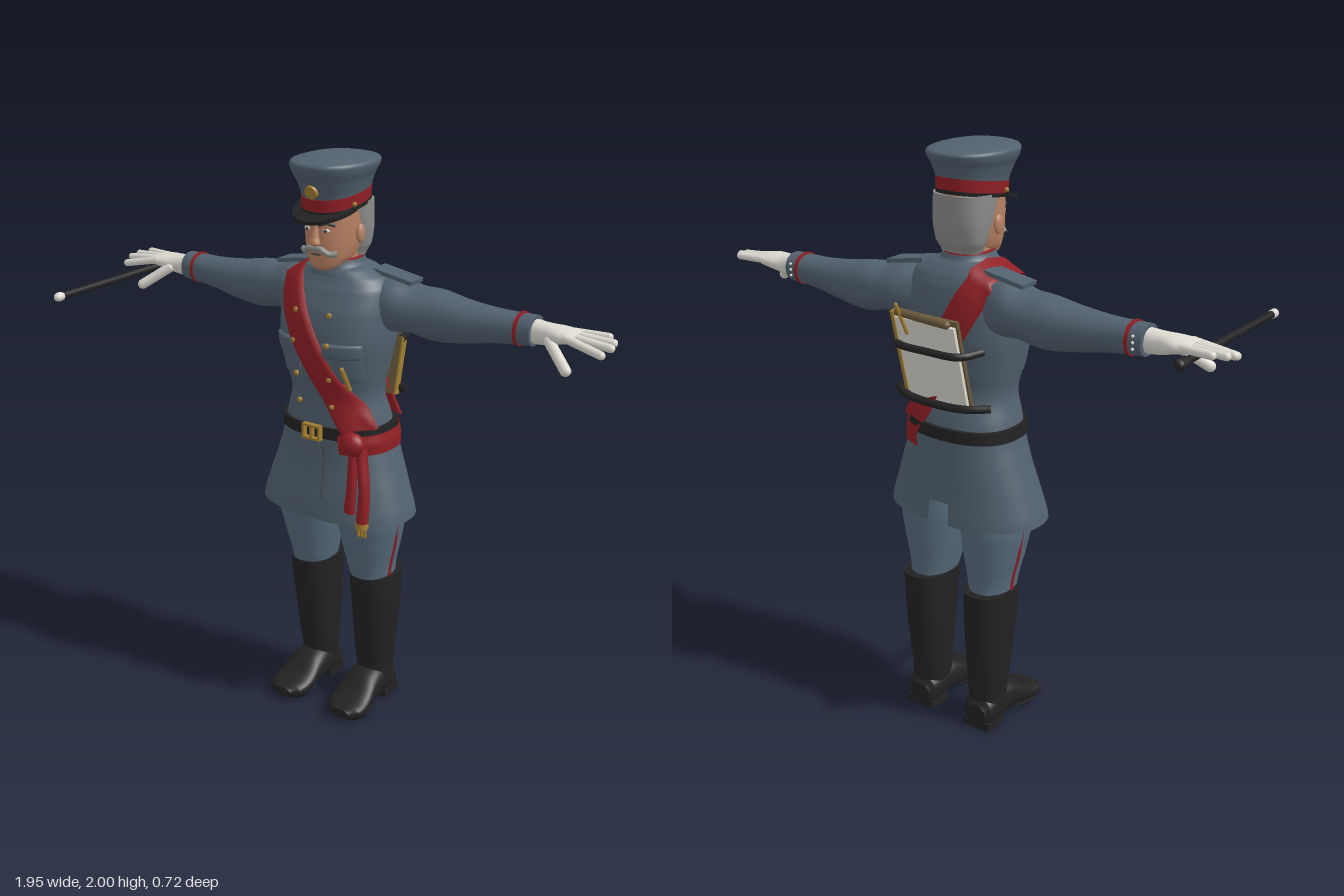
import * as THREE from 'three';

const mat = (name, color, side = THREE.FrontSide) => Object.assign(new THREE.MeshStandardMaterial({ color, side }), { name });
const V = (x, y, z) => new THREE.Vector3(x, y, z);
const lerp = THREE.MathUtils.lerp;

// Smooth in-between rings for a list of [t, a0, a1, b0, b1, slope]
function dense(rings, sub = 6) {
  const out = [], n = rings.length - 1, g = (i, k) => rings[Math.min(n, Math.max(0, i))][k] || 0;
  for (let i = 0; i < n; i++) for (let s = 0; s < sub; s++) {
    const u = s / sub;
    out.push([0, 1, 2, 3, 4, 5].map(k => {
      const a = g(i - 1, k), b = g(i, k), c = g(i + 1, k), d = g(i + 2, k);
      if (k === 0) return lerp(b, c, u);
      return b + 0.5 * u * (c - a + u * (2 * a - 5 * b + 4 * c - d + u * (3 * (b - c) + d - a)));
    }));
  }
  out.push([0, 1, 2, 3, 4, 5].map(k => g(n, k)));
  return out;
}

// Loft of rounded cross-sections. Ring extents: axis y -> x,z; axis x -> z,y; axis z -> y,x
function loft(rings, { axis = 'y', p = 2.2, seg = 32, caps = true, hole } = {}) {
  const R = dense(rings), pos = [], idx = [];
  const put = (t, a, b) => pos.push(...(axis === 'y' ? [a, t, b] : axis === 'x' ? [t, b, a] : [b, a, t]));
  const pw = v => Math.sign(v) * Math.abs(v) ** (2 / p);
  const ring = ([t, a0, a1, b0, b1, k]) => {
    for (let j = 0; j < seg; j++) {
      const w = j / seg * Math.PI * 2, b = pw(Math.sin(w)) * (b1 - b0) / 2;
      put(t - k * b, (a0 + a1) / 2 + pw(Math.cos(w)) * (a1 - a0) / 2, (b0 + b1) / 2 + b);
    }
  };
  R.forEach(ring);
  for (let i = 0; i < R.length - 1; i++) for (let j = 0; j < seg; j++) {
    const nj = (j + 1) % seg, a = i * seg + j, b = i * seg + nj;
    if (hole && hole((pos[a * 3] + pos[b * 3]) / 2, pos[a * 3 + 1], pos[a * 3 + 2])) continue;
    idx.push(a, a + seg, b, b, a + seg, b + seg);
  }
  if (caps) [R[0], R[R.length - 1]].forEach((r, e) => {
    const o = pos.length / 3;
    ring(r);
    put(r[0], (r[1] + r[2]) / 2, (r[3] + r[4]) / 2);
    for (let j = 0; j < seg; j++) {
      const nj = (j + 1) % seg;
      idx.push(o + seg, o + (e ? nj : j), o + (e ? j : nj));
    }
  });
  return finish(pos, idx);
}

function finish(pos, idx) {
  const g = new THREE.BufferGeometry();
  g.setAttribute('position', new THREE.Float32BufferAttribute(pos, 3));
  g.setIndex(idx);
  g.computeVertexNormals();
  return g;
}

// Grid surface through rows of points
function sheet(rows) {
  const m = rows[0].length, idx = [];
  for (let i = 0; i < rows.length - 1; i++) for (let j = 0; j < m - 1; j++) {
    const a = i * m + j;
    idx.push(a, a + 1, a + m, a + 1, a + m + 1, a + m);
  }
  return finish(rows.flat().flatMap(v => [v.x, v.y, v.z]), idx);
}

function mirror(geo) {
  const g = geo.clone().scale(-1, 1, 1);
  const src = g.index ? Array.from(g.index.array) : Array.from({ length: g.attributes.position.count }, (_, i) => i);
  for (let i = 0; i < src.length; i += 3) [src[i], src[i + 1]] = [src[i + 1], src[i]];
  g.setIndex(src);
  return g;
}

const sym = (y, x, z0, z1, k = 0) => [y, -x, x, z0, z1, k];
const box = (w, h, d, x, y, z) => new THREE.BoxGeometry(w, h, d).translate(x, y, z);
const ball = (rx, ry, rz, x, y, z) => new THREE.SphereGeometry(1, 16, 12).scale(rx, ry, rz).translate(x, y, z);
const tube = (pts, r) => new THREE.TubeGeometry(new THREE.CatmullRomCurve3(pts), 20, r, 8);
function rod(a, b, r) {
  const d = b.clone().sub(a), g = new THREE.CapsuleGeometry(r, d.length(), 5, 10);
  g.applyQuaternion(new THREE.Quaternion().setFromUnitVectors(V(0, 1, 0), d.clone().normalize()));
  return g.translate((a.x + b.x) / 2, (a.y + b.y) / 2, (a.z + b.z) / 2);
}

// Jacket body profile, also used to lay details on its surface
const P = 2.4;
const TORSO = [sym(1.04, .19, -.29, 0), sym(1.1, .185, -.285, .003), sym(1.2, .16, -.262, 0), sym(1.3, .18, -.275, .02), sym(1.4, .2, -.29, .03),
  sym(1.5, .2, -.29, .015), sym(1.57, .19, -.28, -.015), sym(1.605, .165, -.265, -.035), sym(1.63, .12, -.245, -.045), sym(1.645, .08, -.225, -.055)];
const TD = dense(TORSO);
function surfZ(x, y, front = true) {
  let i = 0;
  while (i < TD.length - 2 && TD[i + 1][0] < y) i++;
  const u = THREE.MathUtils.clamp((y - TD[i][0]) / (TD[i + 1][0] - TD[i][0]), 0, 1);
  const r = [2, 3, 4].map(k => lerp(TD[i][k], TD[i + 1][k], u));
  const h = (1 - Math.min(.97, Math.abs(x) / r[0]) ** P) ** (1 / P) * (r[2] - r[1]) / 2;
  return (r[1] + r[2]) / 2 + (front ? h : -h);
}
// Raised panel on the chest with edges meeting the cloth
function panel(x0, x1, y0, y1, off) {
  const e = [0, .02, .2, .4, .6, .8, .98, 1];
  return sheet(e.map(v => e.map(u => {
    const x = lerp(x0, x1, u), y = lerp(y0, y1, v), edge = u === 0 || u === 1 || v === 0 || v === 1;
    return V(x, y, surfZ(x, y) + (edge ? -.002 : off));
  })));
}

export function createModel() {
  const coat = mat('coat blue grey', 0x52616e, THREE.DoubleSide), trouser = mat('trouser blue', 0x586b7c), black = mat('black leather', 0x222223),
    red = mat('sash red', 0x8f1f24, THREE.DoubleSide), gold = mat('brass', 0xa07c30), skin = mat('skin', 0xb98263),
    white = mat('glove white', 0xdcd9d0), hair = mat('grey hair', 0x8b8b8a), dark = mat('dark grey', 0x4a4744), brown = mat('brown', 0x6a5a3c);
  const root = new THREE.Group();
  const add = (name, geo, m) => {
    const o = new THREE.Mesh(geo, m);
    o.name = name;
    root.add(o);
    return o;
  };
  const pair = (name, geo, m) => { add('left ' + name, geo, m); add('right ' + name, mirror(geo), m); };

  // Boots and trousers
  pair('trouser leg', loft([[.48, .06, .195, -.27, -.09], [.55, .045, .2, -.267, -.075], [.65, .025, .222, -.277, -.05], [.77, .008, .236, -.286, -.025], [.98, .004, .19, -.27, -.03]]), trouser);
  pair('trouser stripe', loft([[.52, .18, .203, -.18, -.158], [.55, .18, .204, -.18, -.158], [.65, .2, .226, -.175, -.152], [.77, .21, .24, -.168, -.145], [.85, .2, .24, -.166, -.145]], { seg: 8 }), red);
  pair('boot shaft', loft([[.06, .065, .185, -.27, -.12], [.13, .06, .184, -.27, -.135], [.22, .057, .19, -.28, -.118], [.36, .053, .2, -.292, -.1], [.47, .05, .206, -.296, -.085], [.522, .05, .207, -.297, -.08]], { p: 2.4 }), black);
  pair('boot foot', loft([[-.28, .02, .09, .08, .165], [-.26, .01, .115, .065, .18], [-.18, .015, .14, .058, .186], [-.11, .015, .125, .053, .192], [-.04, .012, .08, .049, .203], [.015, .012, .062, .06, .2], [.042, .015, .05, .09, .17]], { axis: 'z', p: 2.5 }), black);
  pair('boot heel', box(.11, .03, .09, .122, .015, -.232), black);
  pair('boot sole', loft([[0, .07, .185, -.09, .02], [.02, .054, .2, -.13, .04]]), black);

  // Jacket
  add('jacket body', loft(TORSO, { p: P, seg: 48 }), coat);
  add('jacket skirt', loft([sym(.77, .288, -.316, .036), sym(.86, .262, -.308, .024), sym(.96, .228, -.302, .008), sym(1.075, .195, -.295, .004)],
    { p: P, seg: 64, caps: false, hole: (x, y, z) => Math.abs(x) < .025 && z < -.2 && y < .84 }), coat);
  add('collar', loft([sym(1.612, .112, -.243, -.035), sym(1.64, .09, -.228, -.042), sym(1.66, .08, -.22, -.045)]), coat);
  add('collar trim', loft([sym(1.655, .078, -.218, -.047), sym(1.664, .076, -.216, -.049)]), red);
  add('front seam', sheet([.79, .95, 1.04].map((y, i) => [.035, .038].map(x => V(x, y, [.033, .012, .009][i])))), dark);
  pair('chest pocket', panel(.05, .162, 1.265, 1.4, .007), coat);
  pair('pocket flap', panel(.046, .166, 1.355, 1.405, .013), coat);
  pair('epaulette', box(.15, .014, .075, 0, 0, 0).rotateZ(-.17).translate(.195, 1.612, -.185), coat);
  for (const y of [1.5, 1.4, 1.28, 1.18]) pair('coat button', ball(.01, .01, .008, .066, y, surfZ(.066, y) + .012), gold);
  add('whistle', rod(V(.115, 1.325, surfZ(.115, 1.325) + .018), V(.128, 1.25, surfZ(.128, 1.25) + .018), .008), gold);

  // Arms and gloved hands
  pair('sleeve', loft([[.1, -.24, -.1, 1.43, 1.6], [.2, -.28, -.085, 1.425, 1.605], [.27, -.285, -.095, 1.43, 1.585], [.35, -.28, -.11, 1.415, 1.583], [.45, -.265, -.12, 1.425, 1.567], [.57, -.252, -.135, 1.447, 1.557], [.7, -.248, -.143, 1.46, 1.558]], { axis: 'x' }), coat);
  pair('cuff band', loft([[.645, -.252, -.138, 1.453, 1.562], [.657, -.252, -.138, 1.454, 1.562]], { axis: 'x' }), red);
  for (const y of [1.49, 1.51, 1.53]) pair('cuff button', ball(.005, .005, .005, .675, y, -.249), white);
  pair('glove palm', loft([[.68, -.232, -.158, 1.468, 1.548], [.74, -.23, -.152, 1.472, 1.543], [.79, -.242, -.138, 1.485, 1.54], [.83, -.242, -.134, 1.495, 1.535], [.85, -.23, -.145, 1.503, 1.53]], { axis: 'x' }), white);
  [[-.228, .925, -.238, 1.518], [-.201, .955, -.205, 1.512], [-.174, .962, -.17, 1.506], [-.148, .95, -.13, 1.492]].forEach(([z, x, z1, y], i) =>
    pair('finger ' + (i + 1), rod(V(.82, 1.518, z), V(x, y, z1), .0135), white));
  pair('thumb', rod(V(.765, 1.497, -.155), V(.852, 1.433, -.1), .018), white);

  // Head and face
  add('neck', loft([sym(1.58, .07, -.21, -.06), sym(1.63, .066, -.205, -.058), sym(1.72, .066, -.205, -.06)]), skin);
  add('head', loft([sym(1.632, .025, -.085, -.02), sym(1.645, .05, -.125, -.006), sym(1.675, .071, -.18, -.001), sym(1.72, .084, -.215, .003), sym(1.78, .09, -.23, .003), sym(1.86, .092, -.235, .003)]), skin);
  add('hair', loft([sym(1.665, .07, -.215, -.125), sym(1.7, .086, -.23, -.118), sym(1.76, .096, -.239, -.095), sym(1.85, .099, -.24, -.055)], { p: 2.6 }), hair);
  add('nose', loft([sym(1.718, .014, -.01, .014), sym(1.726, .019, -.01, .026), sym(1.745, .013, -.01, .022), sym(1.79, .008, -.01, .008)], { seg: 12 }), skin);
  pair('ear', ball(.012, .032, .02, .097, 1.75, -.11), skin);
  pair('eye white', ball(.014, .007, .006, .036, 1.77, -.004), white);
  pair('iris', ball(.006, .0065, .004, .036, 1.77, .001), dark);
  pair('eyebrow', tube([V(.014, 1.787, .005), V(.036, 1.795, .001), V(.062, 1.788, -.018)], .006), dark);
  pair('moustache', tube([V(0, 1.711, .008), V(.022, 1.71, .008), V(.046, 1.694, -.006), V(.066, 1.696, -.022)], .0105), hair);
  add('mouth', ball(.022, .004, .004, 0, 1.69, .001), dark);

  // Peaked cap
  add('cap crown', loft([sym(1.883, .1, -.243, .012, .15), sym(1.93, .114, -.256, .034, .08), sym(1.965, .13, -.27, .056, .02), sym(1.985, .126, -.268, .054), sym(1.996, .085, -.215, .005), sym(2, .02, -.13, -.08)], { seg: 40 }), coat);
  add('cap band', loft([sym(1.845, .1, -.242, .013, .15), sym(1.887, .102, -.245, .015, .15)], { seg: 40 }), red);
  add('cap rim', loft([sym(1.836, .101, -.243, .014, .15), sym(1.848, .102, -.244, .015, .15)], { seg: 40 }), black);
  const peak = new THREE.Shape().absellipse(0, 0, .11, .138, 0, Math.PI);
  add('cap peak', new THREE.ExtrudeGeometry(peak, { depth: .012, bevelEnabled: false, curveSegments: 28 }).rotateX(Math.PI / 2 + .27).translate(0, 1.845, -.07), black);
  add('cap badge', new THREE.CylinderGeometry(.022, .024, .014, 20).rotateX(Math.PI / 2 + .3).translate(0, 1.895, .027), gold);
  pair('cap stud', ball(.008, .008, .008, .1, 1.852, -.07), gold);

  // Belt and buckle
  add('belt', loft([sym(1.062, .203, -.302, .013), sym(1.102, .2, -.3, .013)], { p: P, seg: 48 }), black);
  const frame = new THREE.Shape([[-.036, -.027], [.036, -.027], [.036, .027], [-.036, .027]].map(a => new THREE.Vector2(...a)));
  for (const s of [-1, 1]) frame.holes.push(new THREE.Path([[.005, -.019], [.028, -.019], [.028, .019], [.005, .019]].map(([x, y]) => new THREE.Vector2(x * s, y))));
  add('belt buckle', new THREE.ExtrudeGeometry(frame, { depth: .02, bevelEnabled: false }).translate(-.003, 1.083, .012), gold);

  // Sash: up the front, over the right shoulder, down the back
  const rows = [], across = [-1, -.97, -.6, -.2, .2, .6, .97, 1];
  const side = (s, front) => across.map(v => {
    const x = lerp(front ? .155 : .14, -.13, s) + v * .042, y = lerp(1.085, 1.59, s) + v * .021;
    const o = Math.abs(v) === 1 ? 0 : .015, z = surfZ(x, y, front);
    return front ? V(x, y, Math.max(z, -.08) + o) : V(x, y, Math.min(z, -.24) - o);
  });
  for (let i = 0; i <= 24; i++) rows.push(side(i / 24, true));
  for (const z of [-.07, -.11, -.16, -.21, -.25]) rows.push(across.map(v => V(-.13 + v * .04, 1.632 + v * .02 - Math.abs(z + .16) * .18, z)));
  for (let i = 24; i >= 0; i--) rows.push(side(i / 24, false));
  add('sash', sheet(rows), red);
  add('sash hip wrap', loft([sym(1.015, .214, -.306, .012), sym(1.05, .214, -.31, .022), sym(1.085, .207, -.307, .018)], { p: P, seg: 64, caps: false, hole: x => x < .1 }), red);
  add('sash knot', ball(.046, .042, .035, .142, 1.06, -.005), red);
  add('sash short tail', loft([[.82, .128, .17, .005, .03], [.92, .132, .166, -.01, .02], [1.04, .13, .16, -.03, .01]], { seg: 12 }), red);
  add('sash long tail', loft([[.785, .172, .214, -.015, .025], [.9, .174, .21, -.03, .015], [1.04, .15, .185, -.05, .0]], { seg: 12 }), red);
  add('sash fringe cap', loft([[.77, .17, .216, -.016, .028], [.79, .171, .215, -.016, .027]], { seg: 12 }), gold);
  for (const x of [.18, .193, .206]) add('sash fringe', rod(V(x, .74, .006), V(x, .77, .006), .006), gold);

  // Map board with straps on the back
  const board = new THREE.Group();
  board.name = 'map board';
  board.position.set(.025, 1.325, -.297);
  board.rotation.x = -.24;
  root.add(board);
  board.add(add('board backing', box(.25, .325, .012, 0, 0, .008), brown), add('paper sheet', box(.235, .3, .012, 0, -.005, -.004), white),
    add('board edge', box(.012, .325, .026, .125, 0, 0), gold), add('rolled paper', rod(V(-.09, .155, -.008), V(.1, .165, -.008), .014), brown),
    add('pencil', rod(V(.07, .1, -.018), V(.09, .2, -.022), .006), gold));
  add('lower board strap', tube([V(.205, 1.19, -.25), V(.13, 1.187, -.295), V(.02, 1.183, -.302), V(-.1, 1.187, -.295), V(-.17, 1.19, -.25)], .014), black);
  add('upper board strap', tube([V(.175, 1.372, -.245), V(.145, 1.37, -.325), V(.02, 1.37, -.338), V(-.1, 1.37, -.325), V(-.135, 1.372, -.245)], .013), black);

  // Walking stick in the right hand
  add('stick', new THREE.CylinderGeometry(.0125, .0125, .59, 14).rotateX(Math.PI / 2).translate(-.845, 1.485, .03), black);
  add('stick knob', rod(V(-.845, 1.485, -.275), V(-.845, 1.485, -.245), .019), black);
  add('stick tip', rod(V(-.845, 1.485, .322), V(-.845, 1.485, .334), .0155), white);
  return root;
}
